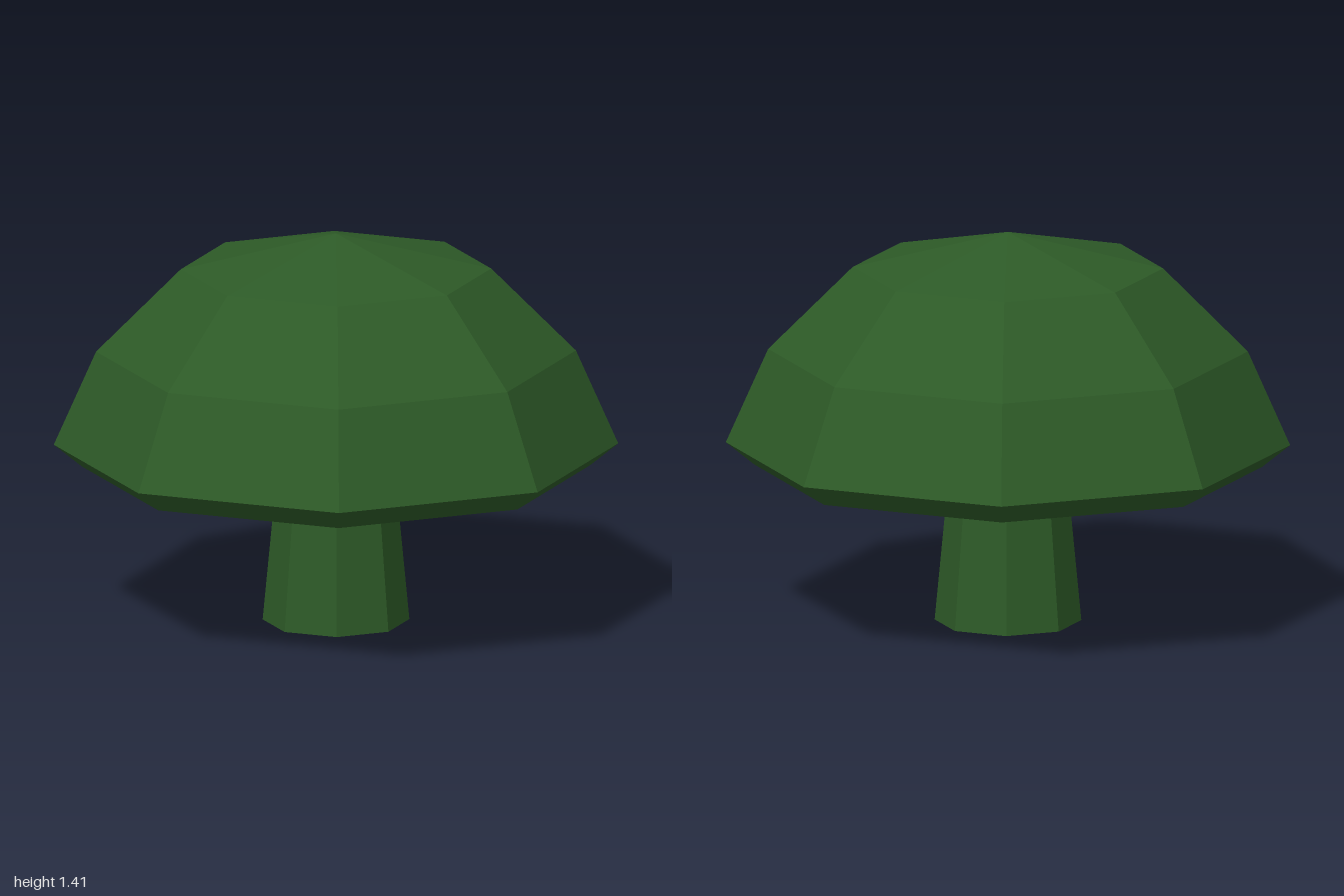
import * as THREE from 'three';

const SIDES = 8;

// Eight-sided solid from [radius, height] pairs, listed from bottom centre outward and up
function turned(name, profile, material) {
  const points = profile.map(([r, y]) => new THREE.Vector2(r, y));
  const geometry = new THREE.LatheGeometry(points, SIDES).toNonIndexed();
  geometry.computeVertexNormals();
  const mesh = new THREE.Mesh(geometry, material);
  mesh.name = name;
  return mesh;
}

export function createModel() {
  const model = new THREE.Group();
  model.name = 'mushroom';

  const green = new THREE.MeshStandardMaterial({ color: 0x2d5a27, flatShading: true });
  green.name = 'forest green';

  // Stem: tapers upward, then flares where it meets the cap
  model.add(turned('stem', [[0, 0], [0.26, 0], [0.205, 0.58], [0.26, 0.7]], green));

  // Cap: hollow underside, rolled lip, domed top
  model.add(turned('cap', [
    [0.26, 0.7], [0.76, 0.53], [0.9, 0.56], [1, 0.64],
    [0.85, 0.98], [0.55, 1.28], [0, 1.41],
  ], green));

  return model;
}
